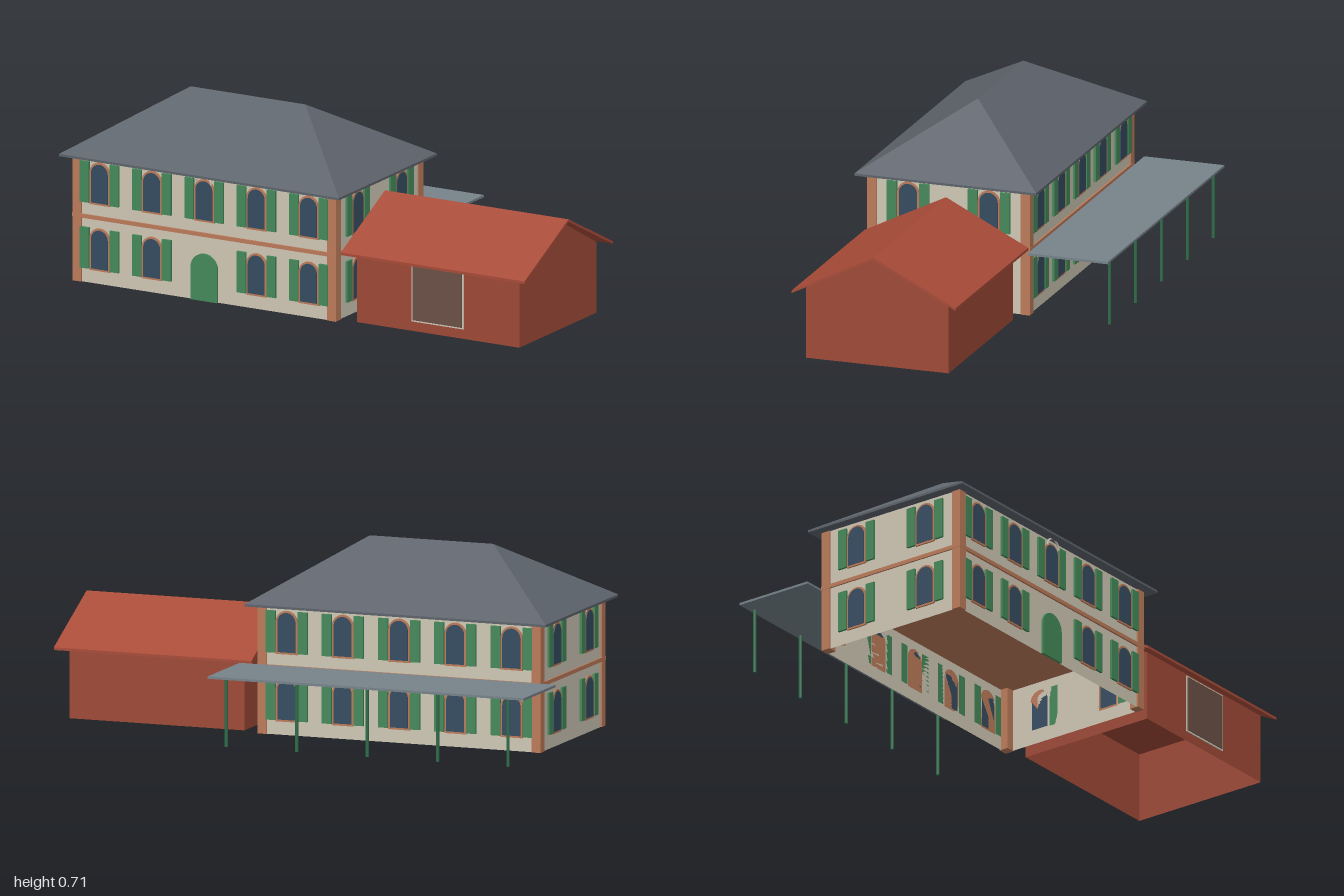
import * as THREE from 'three';

const mat = (name, color, double = false) => {
  const m = new THREE.MeshStandardMaterial({ color });
  m.name = name;
  if (double) m.side = THREE.DoubleSide;
  return m;
};

export function createModel() {
  const model = new THREE.Group();
  model.name = 'villa';
  const M = {
    plaster: mat('cream plaster', 0xcfc7b5, true),
    terracotta: mat('terracotta trim', 0xbc7b5a),
    slate: mat('slate roof', 0x5d636b),
    canopy: mat('canopy metal', 0x76828a),
    green: mat('shutter green', 0x45895a),
    post: mat('post green', 0x2f6e4a),
    glass: mat('window glass', 0x354c60),
    brick: mat('red barn wall', 0x9e4936, true),
    tile: mat('red barn roof', 0xa84b38),
    gate: mat('barn gate', 0x6a5146),
  };

  const add = (parent, name, geo, material, x = 0, y = 0, z = 0) => {
    const mesh = new THREE.Mesh(geo, material);
    mesh.name = name;
    mesh.position.set(x, y, z);
    parent.add(mesh);
    return mesh;
  };
  // Box given by its limits
  const box = (parent, name, material, x0, x1, y0, y1, z0, z1) =>
    add(parent, name, new THREE.BoxGeometry(x1 - x0, y1 - y0, z1 - z0), material,
      (x0 + x1) / 2, (y0 + y1) / 2, (z0 + z1) / 2);
  // Polygons (lists of corner points, counter-clockwise) to flat faces
  const faces = (polys) => {
    const pos = [];
    for (const p of polys)
      for (let i = 1; i < p.length - 1; i++) pos.push(...p[0], ...p[i], ...p[i + 1]);
    const g = new THREE.BufferGeometry();
    g.setAttribute('position', new THREE.Float32BufferAttribute(pos, 3));
    g.computeVertexNormals();
    return g;
  };
  // Round-arched plate standing on y = 0
  const archPlate = (width, height, depth) => {
    const r = width / 2, s = new THREE.Shape();
    s.moveTo(-r, 0);
    s.lineTo(r, 0);
    s.lineTo(r, height - r);
    s.absarc(0, height - r, r, 0, Math.PI, false);
    s.lineTo(-r, 0);
    return new THREE.ExtrudeGeometry(s, { depth, bevelEnabled: false, curveSegments: 12 });
  };

  // ---- Main house ----
  const cx = -0.371, cz = 0.146, hx = 0.558, hz = 0.313;
  const house = new THREE.Group();
  house.name = 'house';
  house.position.set(cx, 0, cz);
  model.add(house);

  // Walls, open at the bottom
  const wallTop = 0.48;
  const corners = [[-hx, hz], [hx, hz], [hx, -hz], [-hx, -hz]];
  add(house, 'walls', faces(corners.map(([x, z], i) => {
    const [u, w] = corners[(i + 1) % 4];
    return [[x, 0, z], [u, 0, w], [u, wallTop, w], [x, wallTop, z]];
  })), M.plaster);

  // Corner pilasters and the floor band
  for (const sx of [-1, 1])
    for (const sz of [-1, 1])
      add(house, 'cornerPilaster', new THREE.BoxGeometry(0.037, wallTop, 0.037), M.terracotta,
        sx * 0.5445, wallTop / 2, sz * 0.3005);
  box(house, 'floorBand', M.terracotta, -0.564, 0.564, 0.245, 0.26, -0.32, 0.32);

  // Hipped roof on a thin eave slab
  const ex = 0.598, ez = 0.356, ey = 0.487, ry = 0.71, rx = 0.245;
  box(house, 'eaves', M.slate, -ex, ex, 0.478, ey, -ez, ez);
  const [A, B, C, D] = [[-ex, ey, ez], [ex, ey, ez], [ex, ey, -ez], [-ex, ey, -ez]];
  const R0 = [-rx, ry, 0], R1 = [rx, ry, 0];
  add(house, 'hipRoof', faces([[A, B, R1, R0], [B, C, R1], [C, D, R0, R1], [D, A, R0]]), M.slate);

  // Arched window with frame and two shutters
  const frameGeo = archPlate(0.086, 0.163, 0.006);
  const glassGeo = archPlate(0.071, 0.148, 0.008);
  const shutterGeo = new THREE.BoxGeometry(0.038, 0.157, 0.009);
  const addWindow = (wall, x, y) => {
    const w = new THREE.Group();
    w.name = 'window';
    w.position.set(x, y, 0);
    add(w, 'windowFrame', frameGeo, M.terracotta);
    add(w, 'windowGlass', glassGeo, M.glass, 0, 0.0075, 0);
    for (const s of [-1, 1]) add(w, 'shutter', shutterGeo, M.green, s * 0.0635, 0.083, 0.0045);
    wall.add(w);
  };

  // Four facades: name, turn, distance from centre, window columns
  const five = [-2, -1, 0, 1, 2].map((i) => i * 0.2235), two = [-0.158, 0.158];
  const facades = [['front', 0, hz, five], ['right', Math.PI / 2, hx, two],
    ['back', Math.PI, hz, five], ['left', -Math.PI / 2, hx, two]];
  for (const [name, turn, dist, columns] of facades) {
    const wall = new THREE.Group();
    wall.name = name + 'Facade';
    wall.rotation.y = turn;
    wall.position.set(Math.sin(turn) * dist, 0, Math.cos(turn) * dist);
    house.add(wall);
    for (const x of columns)
      for (const y of [0.05, 0.302])
        if (!(name === 'front' && x === 0 && y < 0.2)) addWindow(wall, x, y);
    if (name === 'front') {
      add(wall, 'frontDoor', archPlate(0.113, 0.18, 0.009), M.green);
      // Half-ring ornament over the middle window
      add(wall, 'archOrnament', new THREE.TorusGeometry(0.033, 0.004, 6, 16, Math.PI),
        M.plaster, 0, 0.449, 0.012);
    }
  }

  // ---- Rear canopy on posts ----
  const canopy = new THREE.Group();
  canopy.name = 'canopy';
  model.add(canopy);
  box(canopy, 'canopyRoof', M.canopy, -1, 0.256, 0.253, 0.262, -0.502, -0.188);
  const postGeo = new THREE.CylinderGeometry(0.0065, 0.0065, 0.253, 8);
  for (let i = 0; i < 5; i++)
    add(canopy, 'canopyPost', postGeo, M.post, -0.931 + i * 0.28, 0.1265, -0.484);

  // ---- Red barn ----
  const barn = new THREE.Group();
  barn.name = 'barn';
  model.add(barn);
  const x0 = 0.26, x1 = 0.955, zf = 0.428, zb = -0.132, zm = 0.147, top = 0.27, peak = 0.42;
  const gable = (x) => [[x, 0, zf], [x, 0, zb], [x, top, zb], [x, peak, zm], [x, top, zf]];
  add(barn, 'barnWalls', faces([
    gable(x1), gable(x0).reverse(),
    [[x0, 0, zf], [x1, 0, zf], [x1, top, zf], [x0, top, zf]],
    [[x1, 0, zb], [x0, 0, zb], [x0, top, zb], [x1, top, zb]],
    [[x0, top, zb], [x1, top, zb], [x1, top, zf], [x0, top, zf]],
  ]), M.brick);

  // Gabled roof slab, extruded along x
  const roofShape = new THREE.Shape([[-0.467, 0.269], [-0.147, 0.43], [0.175, 0.269],
    [0.175, 0.259], [-0.147, 0.42], [-0.467, 0.259]].map(([a, b]) => new THREE.Vector2(a, b)));
  const roof = add(barn, 'barnRoof',
    new THREE.ExtrudeGeometry(roofShape, { depth: 0.785, bevelEnabled: false }), M.tile, 0.215, 0, 0);
  roof.rotation.y = Math.PI / 2;

  // Barn gate with a thin pale frame
  box(barn, 'gateFrame', M.plaster, 0.497, 0.718, 0.037, 0.263, zf, zf + 0.004);
  box(barn, 'gatePanel', M.gate, 0.503, 0.712, 0.043, 0.257, zf, zf + 0.007);

  return model;
}
